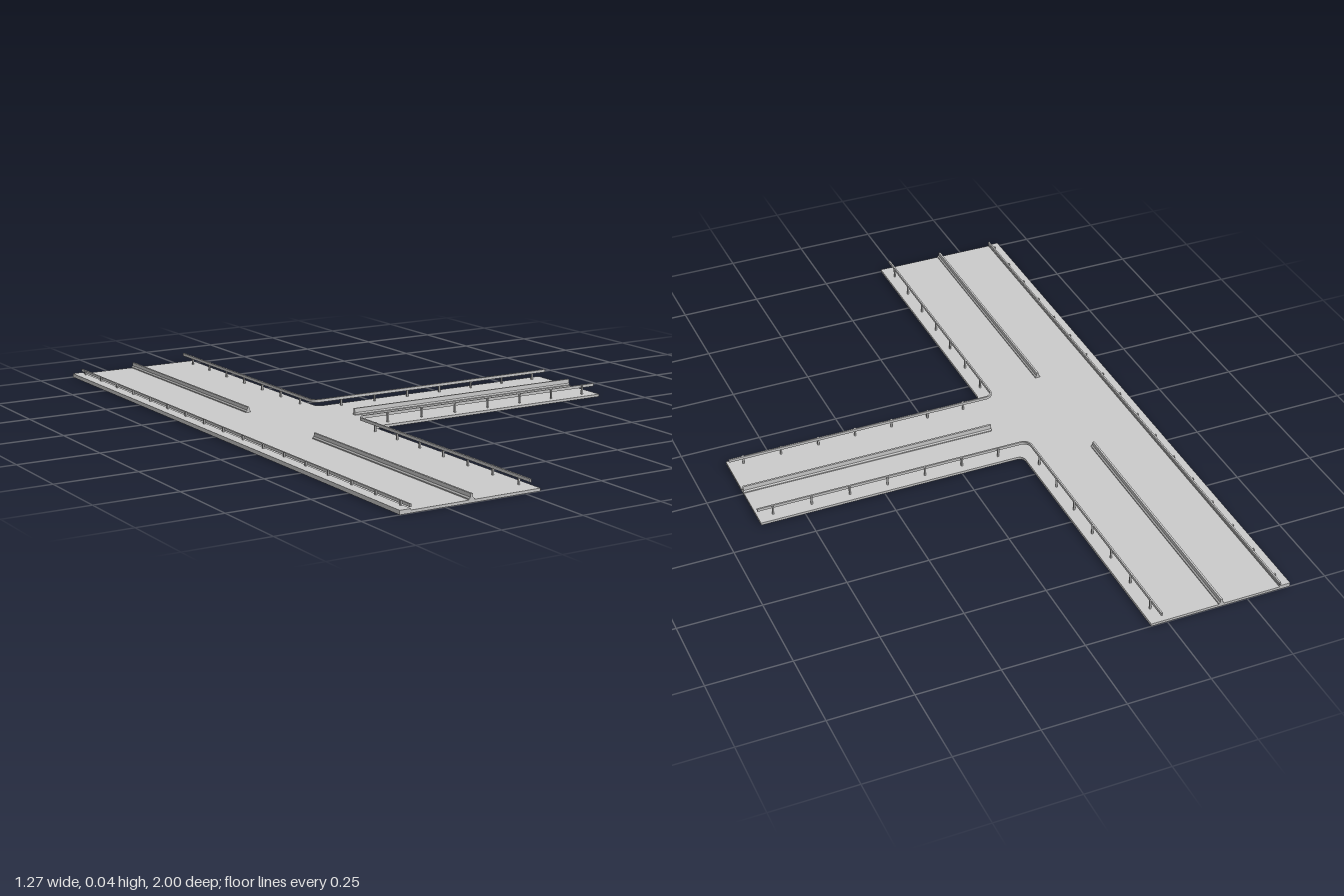
import * as THREE from 'three';

const material = new THREE.MeshStandardMaterial({ color: 0xcccccc, flatShading: true });
const X0 = -0.637, X1 = 0.637, EDGE = -0.2, HALF = 0.162, DECK = 0.008;

function addMesh(parent, name, geometry) {
  const mesh = new THREE.Mesh(geometry, material);
  mesh.name = name;
  parent.add(mesh);
  return mesh;
}

// Extrudes a plan outline of [x, z] points upward from y
function slab(points, y, height) {
  const shape = new THREE.Shape(points.map(([x, z]) => new THREE.Vector2(x, -z)));
  const geometry = new THREE.ExtrudeGeometry(shape, { depth: height, bevelEnabled: false });
  return geometry.rotateX(-Math.PI / 2).translate(0, y, 0);
}

// L-shaped plan line on the +z side with a rounded corner
function cornerLine(x, z, radius) {
  const points = [[x, 1]];
  for (let i = 0; i <= 5; i++) {
    const a = (i / 5) * Math.PI / 2;
    points.push([x + radius * (1 - Math.cos(a)), z + radius * (1 - Math.sin(a))]);
  }
  points.push([X1, z]);
  return points;
}

// Concrete barrier with a wide foot and a narrow top, running along z
function barrier(length, top) {
  const half = [[0.008, DECK], [0.008, 0.011], [0.004, 0.015], [0.003, top]];
  const outline = [...half, ...half.map(([x, y]) => [-x, y]).reverse()];
  const shape = new THREE.Shape(outline.map(([x, y]) => new THREE.Vector2(x, y)));
  return new THREE.ExtrudeGeometry(shape, { depth: length, bevelEnabled: false })
    .translate(0, 0, -length / 2);
}

function addPost(parent, x, z, top) {
  addMesh(parent, 'railPost', new THREE.BoxGeometry(0.005, top - DECK, 0.005)
    .translate(x, (top + DECK) / 2, z));
}

export function createModel() {
  const model = new THREE.Group();
  model.name = 'roadJunction';
  const mirrorZ = (points) => points.map(([x, z]) => [x, -z]).reverse();

  // Road deck: through road with a side road
  const edge = cornerLine(EDGE, HALF, 0.02);
  addMesh(model, 'roadDeck', slab([[X0, 1], ...edge, ...mirrorZ(edge), [X0, -1]], 0, DECK));

  // Far shoulder with its low guard rail
  const farRail = new THREE.Group();
  farRail.name = 'farGuardRail';
  model.add(farRail);
  addMesh(farRail, 'shoulder', new THREE.BoxGeometry(0.034, 0.004, 2)
    .translate(X0 + 0.017, DECK + 0.002, 0));
  addMesh(farRail, 'railBeam', new THREE.BoxGeometry(0.005, 0.008, 2).translate(-0.604, 0.02, 0));
  for (let i = 0; i <= 16; i++) addPost(farRail, -0.609, -0.96 + i * 0.12, 0.025);

  // Two guard rails that turn from the through road into the side road
  const outer = cornerLine(-0.229, 0.132, 0.022);
  const inner = cornerLine(-0.234, 0.127, 0.027);
  for (const side of [1, -1]) {
    const rail = new THREE.Group();
    rail.name = side > 0 ? 'frontGuardRail' : 'backGuardRail';
    model.add(rail);
    const outline = [...outer, ...[...inner].reverse()];
    addMesh(rail, 'railBeam', slab(side > 0 ? outline : mirrorZ(outline), 0.028, 0.009));
    for (let i = 0; i < 7; i++) {
      addPost(rail, -0.227, side * (0.22 + i * 0.12), 0.036);
      addPost(rail, -0.13 + i * 0.12, side * 0.134, 0.036);
    }

    // Median barrier of the through road
    addMesh(model, 'mainMedian', barrier(0.8, 0.025)).position.set(-0.418, 0, side * 0.6);
  }

  // Median barrier of the side road
  const sideMedian = addMesh(model, 'sideMedian', barrier(X1 + 0.165, 0.028));
  sideMedian.rotation.y = Math.PI / 2;
  sideMedian.position.x = (X1 - 0.165) / 2;
  return model;
}
